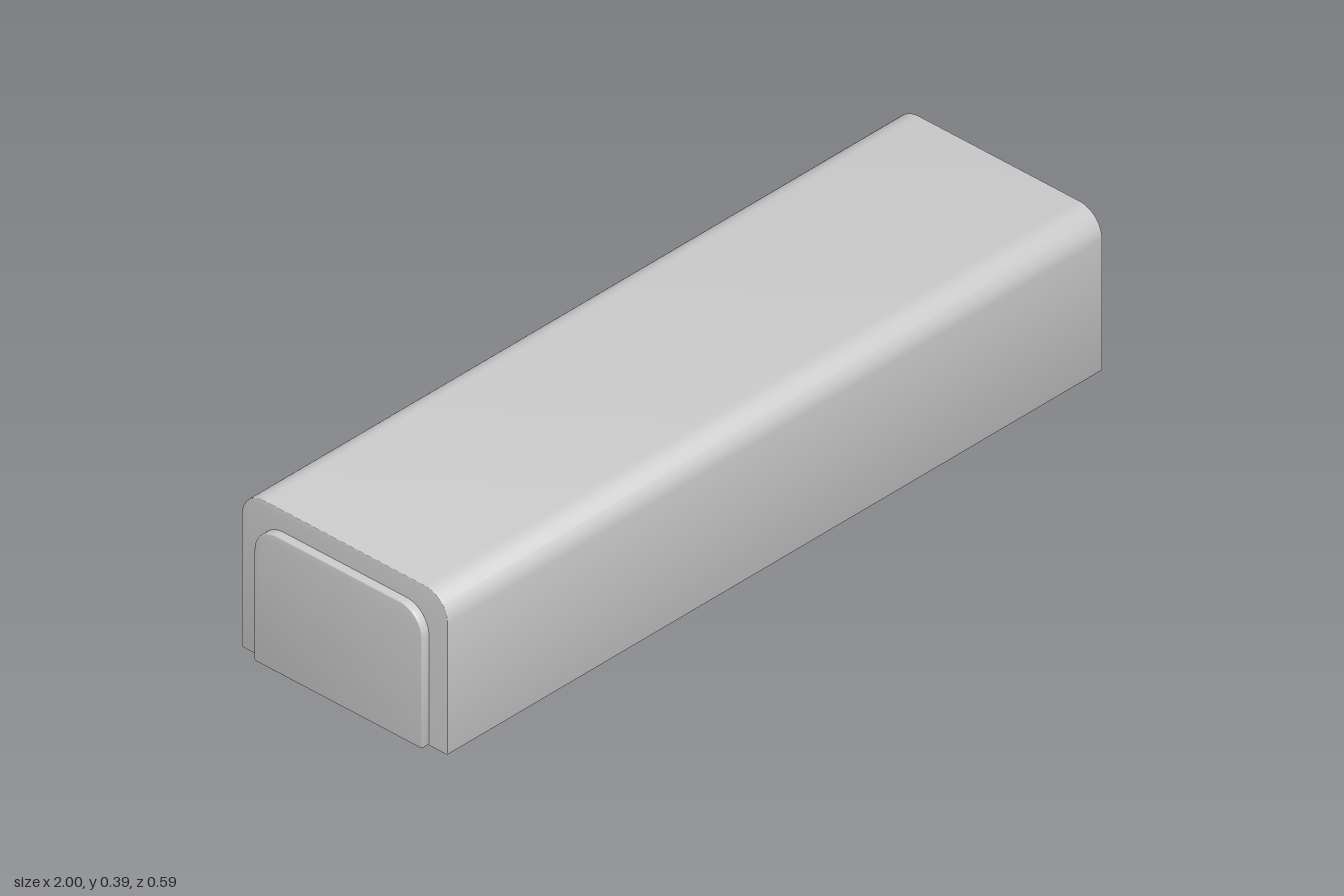
import * as THREE from 'three';
import { toCreasedNormals } from 'three/addons/utils/BufferGeometryUtils.js';

const material = new THREE.MeshStandardMaterial({ color: 0xcccccc });

// Upright profile: large rounded top corners, tiny rounded bottom corners
function profile(halfWidth, height, topRadius, bottomRadius) {
  const w = halfWidth, h = height, r = topRadius, b = bottomRadius;
  const s = new THREE.Shape();
  s.moveTo(-w + b, 0);
  s.lineTo(w - b, 0);
  s.absarc(w - b, b, b, -Math.PI / 2, 0, false);
  s.lineTo(w, h - r);
  s.absarc(w - r, h - r, r, 0, Math.PI / 2, false);
  s.lineTo(-w + r, h);
  s.absarc(-w + r, h - r, r, Math.PI / 2, Math.PI, false);
  s.lineTo(-w, b);
  s.absarc(-w + b, b, b, Math.PI, Math.PI * 1.5, false);
  return s;
}

// Extrudes a profile along x between two positions, with softened end edges
function bar(name, shape, x0, x1, bevel) {
  const geometry = new THREE.ExtrudeGeometry(shape, {
    depth: x1 - x0 - 2 * bevel,
    curveSegments: 12,
    bevelEnabled: true,
    bevelThickness: bevel,
    bevelSize: bevel,
    bevelOffset: -bevel,
    bevelSegments: 3,
  });
  geometry.translate(0, 0, x0 + bevel);
  geometry.rotateY(Math.PI / 2);
  const mesh = new THREE.Mesh(toCreasedNormals(geometry, 0.6), material);
  mesh.name = name;
  return mesh;
}

export function createModel() {
  const model = new THREE.Group();
  model.name = 'roundedCasing';

  // Long main casing
  model.add(bar('body', profile(0.293, 0.393, 0.065, 0.006), -0.98, 0.98, 0.002));

  // Raised panel on each end
  const panel = profile(0.239, 0.339, 0.065, 0.006);
  model.add(bar('leftEndPanel', panel, 0.965, 1, 0.004));
  model.add(bar('rightEndPanel', panel, -1, -0.965, 0.004));

  return model;
}
